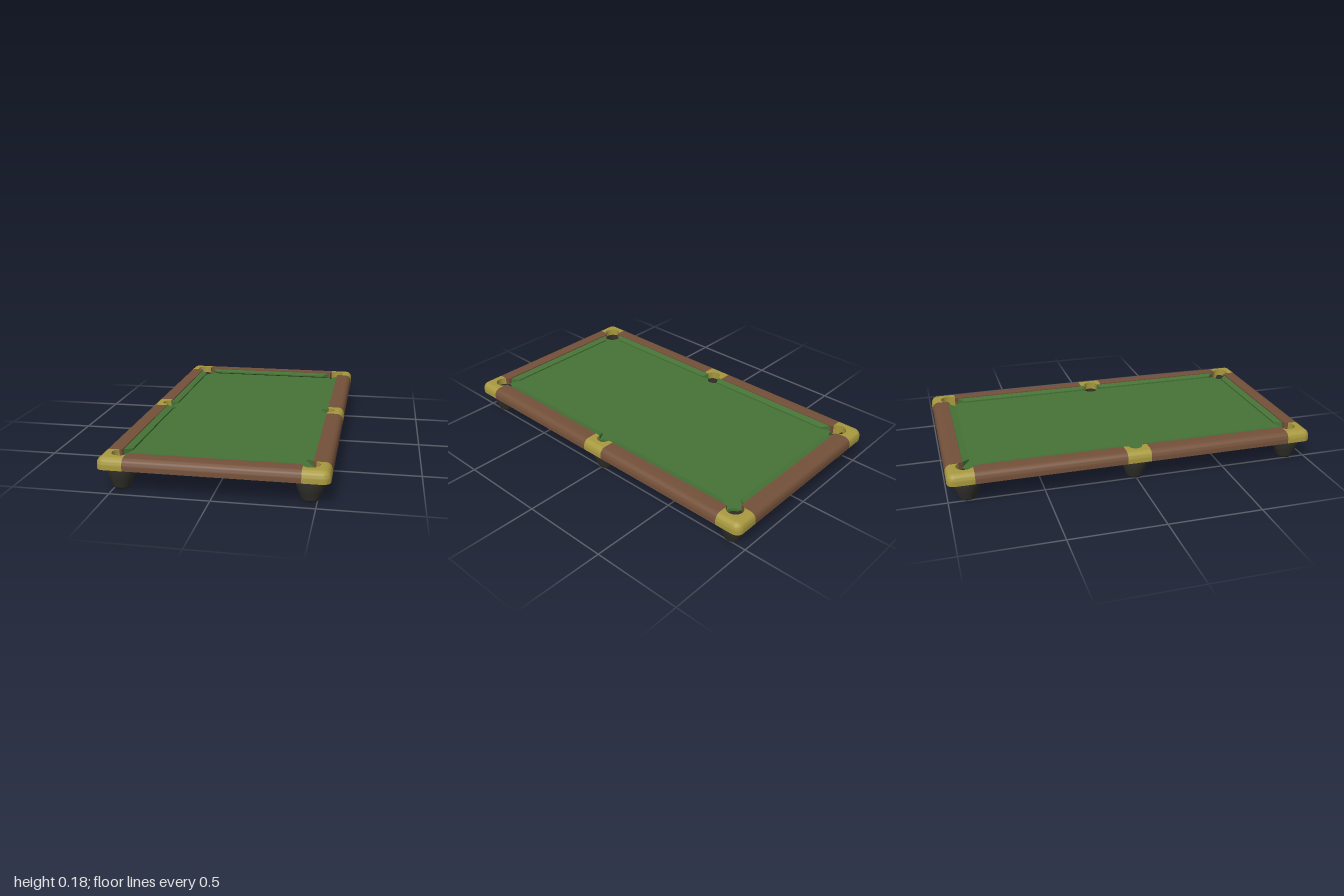
import * as THREE from 'three';
import { toCreasedNormals } from 'three/addons/utils/BufferGeometryUtils.js';

const mat = (name, color) => {
  const m = new THREE.MeshStandardMaterial({ color });
  m.name = name;
  return m;
};

// Plan dimensions
const W = 0.565, L = 1.0;            // outer half width and half length
const IX = 0.472, IZ = 0.905;        // inner edges of the rails
const BASE = 0.12, TOP = 0.18;       // rail underside and top
const BED = 0.145;                   // playing surface
const CORNER = { x: 0.465, z: 0.9, r: 0.045 };
const SIDE = { x: 0.475, z: 0, r: 0.037 };
const lerp = THREE.MathUtils.lerp, rad = THREE.MathUtils.degToRad;
const onCircle = (c, deg) => [c.x + c.r * Math.cos(rad(deg)), c.z + c.r * Math.sin(rad(deg))];

// Closed solid through equal rings of [x, y, z]; winding is set so that faces look outward
function loft(rings, sx = 1, sz = 1, crease = 0.6) {
  const n = rings[0].length, last = (rings.length - 1) * n;
  const p = rings.flat().map(([x, y, z]) => new THREE.Vector3(x * sx, y, z * sz));
  const tris = [];
  for (let i = 0; i < rings.length - 1; i++) {
    for (let j = 0; j < n; j++) {
      const a = i * n + j, b = i * n + (j + 1) % n;
      tris.push([a, b, b + n], [a, b + n, a + n]);
    }
  }
  for (let j = 1; j < n - 1; j++) tris.push([0, j + 1, j], [last, last + j, last + j + 1]);
  let volume = 0;
  const cross = new THREE.Vector3();
  for (const [a, b, c] of tris) volume += p[a].dot(cross.crossVectors(p[b], p[c]));
  const geo = new THREE.BufferGeometry().setFromPoints(p);
  geo.setIndex(tris.flatMap(([a, b, c]) => (volume > 0 ? [a, b, c] : [a, c, b])));
  return toCreasedNormals(geo, crease);
}

// Rail section at one station: outer point o, inward direction d, inner point i (all in plan)
function railRing(o, d, i) {
  const ring = [[i[0], BASE, i[1]], [o[0], BASE, o[1]]];
  for (let k = 0; k <= 7; k++) {
    const a = (k / 7) * Math.PI / 2;
    const inset = 0.035 * (1 - Math.cos(a));
    ring.push([o[0] + d[0] * inset, 0.142 + (TOP - 0.142) * Math.sin(a), o[1] + d[1] * inset]);
  }
  ring.push([i[0], TOP, i[1]]);
  return ring;
}

// Corner casting: rounded outside, pocket notch inside
function cornerRings() {
  const rings = [], R = 0.04, cx = W - R, cz = L - R;
  for (let s = 0; s <= 20; s++) {
    const u = s / 20;
    const a = rad(90 * (1 - THREE.MathUtils.clamp((u - 0.35) / 0.3, 0, 1)));
    const c = Math.cos(a), n = Math.sin(a);
    let o = [cx + R * c, cz + R * n];
    if (s < 7) o = [lerp(0.43, cx, u / 0.35), L];
    if (s > 13) o = [W, lerp(cz, 0.86, (u - 0.65) / 0.35)];
    rings.push(railRing(o, [-c, -n], onCircle(CORNER, lerp(141, -63, u))));
  }
  return rings;
}

function longRailRings() {
  return [0.065, 0.8555, 0.858, 0.86].map((z) => {
    const cut = CORNER.x + Math.sqrt(Math.max(0, CORNER.r ** 2 - (z - CORNER.z) ** 2));
    return railRing([W, z], [-1, 0], [Math.max(IX, cut), z]);
  });
}

function endRailRings() {
  return [-0.43, -0.425, -0.4205, 0.4205, 0.425, 0.43].map((x) => {
    const cut = CORNER.z + Math.sqrt(Math.max(0, CORNER.r ** 2 - (Math.abs(x) - CORNER.x) ** 2));
    return railRing([x, L], [0, -1], [x, Math.max(IZ, cut)]);
  });
}

function sideCastingRings() {
  const rings = [railRing([W, -0.065], [-1, 0], [IX, -0.065])];
  for (let a = -90; a <= 90; a += 15) {
    const i = onCircle(SIDE, a);
    rings.push(railRing([W, i[1]], [-1, 0], i));
  }
  rings.push(railRing([W, 0.065], [-1, 0], [IX, 0.065]));
  return rings;
}

// Cushion wedge section between a point on the rail and a point on the nose
const cushionRing = (r, n) => [
  [r[0], BED, r[1]], [r[0], 0.175, r[1]], [n[0], 0.168, n[1]], [n[0], 0.159, n[1]],
];

// Flat bed with notches around the six pockets
function bedGeometry() {
  const q = [];
  for (let a = 175; a >= 95; a -= 10) q.push(onCircle(SIDE, a));
  for (let k = 0; k <= 12; k++) q.push(onCircle(CORNER, lerp(-81.5, -186.3, k / 12)));
  const flip = (sx, sz) => q.map(([x, z]) => new THREE.Vector2(x * sx, z * sz));
  const outline = [
    ...flip(1, 1), ...flip(-1, 1).reverse(), ...flip(-1, -1), ...flip(1, -1).reverse(),
  ];
  const geo = new THREE.ExtrudeGeometry(new THREE.Shape(outline), { depth: 0.017, bevelEnabled: false });
  return geo.rotateX(Math.PI / 2).translate(0, BED, 0);
}

// Hollow pocket cup, which also serves as a foot
function cupGeometry(r) {
  const foot = new THREE.SplineCurve([
    [0.034, 0], [0.044, 0.007], [0.053, 0.03], [0.066, 0.065], [0.074, 0.1], [0.075, 0.126],
  ].map(([x, y]) => new THREE.Vector2(x, y))).getPoints(14);
  const inside = [[r, 0.126], [r, 0.141], [r * 0.97, 0.1], [r * 0.85, 0.05], [r * 0.55, 0.028], [0, 0.022]];
  const profile = [new THREE.Vector2(0, 0), ...foot, ...inside.map(([x, y]) => new THREE.Vector2(x, y))];
  return toCreasedNormals(new THREE.LatheGeometry(profile, 32), 0.7);
}

export function createModel() {
  const wood = mat('wood', 0x74513a);
  const brass = mat('brass', 0xa8993f);
  const cloth = mat('green cloth', 0x477437);
  const dark = mat('dark rubber', 0x33322c);

  const table = new THREE.Group();
  table.name = 'poolTable';
  const add = (name, geo, material) => {
    const mesh = new THREE.Mesh(geo, material);
    mesh.name = name;
    table.add(mesh);
    return mesh;
  };

  add('bed', bedGeometry(), cloth);

  // Long sides, corners and their pockets
  for (const sx of [1, -1]) {
    add('sideCasting', loft(sideCastingRings(), sx), brass);
    add('sidePocketCup', cupGeometry(SIDE.r), dark).position.set(sx * 0.466, 0, 0);
    for (const sz of [1, -1]) {
      add('longRail', loft(longRailRings(), sx, sz), wood);
      add('cornerCasting', loft(cornerRings(), sx, sz), brass);
      add('cornerPocketCup', cupGeometry(CORNER.r), dark).position.set(sx * CORNER.x, 0, sz * 0.897);
      add('longCushion', loft([
        cushionRing([IX, 0.04], [0.435, 0.055]),
        cushionRing([IX, 0.842], [0.435, 0.805]),
      ], sx, sz, 0.2), cloth);
    }
  }

  // Short ends
  for (const sz of [1, -1]) {
    add('endRail', loft(endRailRings(), 1, sz), wood);
    add('endCushion', loft([
      cushionRing([-0.408, IZ], [-0.372, 0.868]),
      cushionRing([0.408, IZ], [0.372, 0.868]),
    ], 1, sz, 0.2), cloth);
  }
  return table;
}
